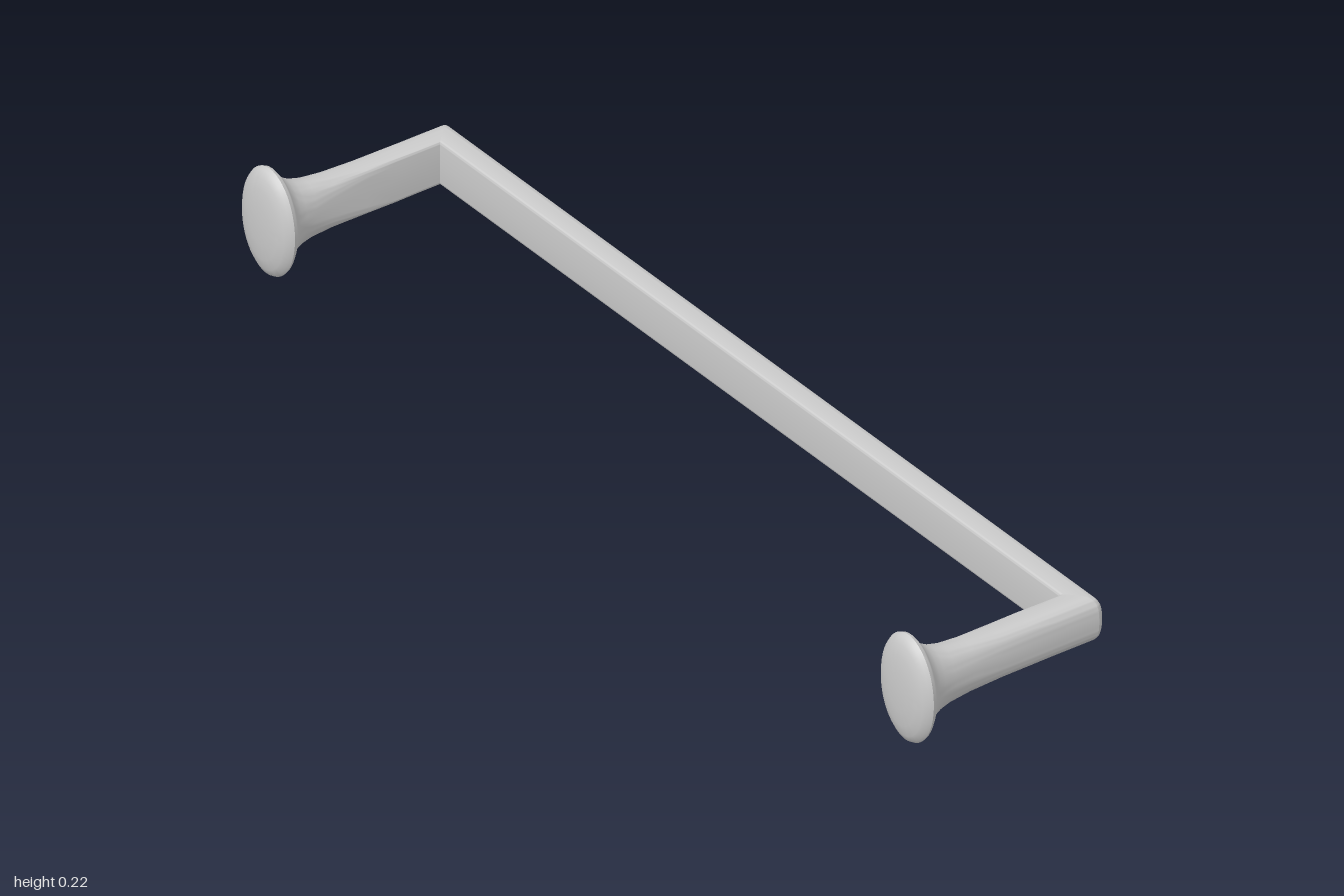
import * as THREE from 'three';
import { toCreasedNormals } from 'three/addons/utils/BufferGeometryUtils.js';

const SEG = 48;               // points around each cross-section
const MID_Y = 0.11;           // height of the centre line
const CX = 0.183, CZ = 0.926; // corner of the centre line
const HU = 0.028, HV = 0.045; // half depth and half height of the bar
const FILLET = 0.012;         // rounding of the outer corner

const spow = (s, e) => Math.sign(s) * Math.pow(Math.abs(s), e);

// Section point [u outward, v up]: t = 0 is an ellipse, t = 1 is a D with a flat inner side
function section(j, hu, hv, t) {
  const a = (j / SEG) * Math.PI * 2;
  const c = Math.cos(a), s = Math.sin(a);
  const e = 2 / (c < -1e-6 ? 12 : 2.9);
  return [
    hu * THREE.MathUtils.lerp(c, spow(c, e), t),
    hv * THREE.MathUtils.lerp(s, spow(s, e), t),
  ];
}

function ring(place, hu = HU, hv = HV, t = 1) {
  return Array.from({ length: SEG }, (_, j) => place(...section(j, hu, hv, t)));
}

// Skin a list of closed rings
function loft(name, rings, material) {
  const index = [];
  for (let i = 0; i < rings.length - 1; i++) {
    for (let j = 0; j < SEG; j++) {
      const k = (j + 1) % SEG;
      const a = i * SEG + j, b = a + SEG, c = i * SEG + k, d = c + SEG;
      index.push(a, b, c, c, b, d);
    }
  }
  const geometry = new THREE.BufferGeometry();
  geometry.setAttribute('position', new THREE.Float32BufferAttribute(rings.flat(2), 3));
  geometry.setIndex(index);
  const mesh = new THREE.Mesh(toCreasedNormals(geometry, 0.6), material);
  mesh.name = name;
  return mesh;
}

const mirror = (rings) => rings.map((r) => r.map(([x, y, z]) => [x, y, -z])).reverse();

export function createModel() {
  const group = new THREE.Group();
  group.name = 'pullHandle';
  const material = new THREE.MeshStandardMaterial({ color: 0xcccccc });

  // Flared post: [x, half height, half depth] from the domed foot to the plain stem
  const stations = [
    [-0.213, 0, 0], [-0.212, 0.04, 0.027], [-0.209, 0.07, 0.047], [-0.204, 0.091, 0.061],
    [-0.197, 0.104, 0.070], [-0.19, 0.108, 0.074], [-0.184, 0.106, 0.072], [-0.178, 0.098, 0.067],
    [-0.168, 0.083, 0.056], [-0.155, 0.072, 0.048], [-0.14, 0.064, 0.042], [-0.115, 0.057, 0.036],
    [-0.07, 0.051, 0.0315], [0, 0.0465, 0.029], [0.06, 0.0455, 0.0283], [0.11, HV, HU],
  ];
  const post = stations.map(([x, hv, hu]) =>
    ring((u, v) => [x, MID_Y + v, CZ + u], hu, hv, THREE.MathUtils.smoothstep(x, -0.18, 0.06)));

  // Mitred corner, rounded only on the outer side
  const corner = (fx, fz) => ring((u, v) => {
    const r = FILLET * Math.max(0, u / HU);
    return [CX + u - r * fx, MID_Y + v, CZ + u - r * fz];
  });
  post.push(corner(1, 0));
  const bend = [corner(1, 0), corner(0.5, 0.134), corner(0.134, 0.5), corner(0, 1)];

  group.add(loft('frontPost', post, material));
  group.add(loft('bar', [...bend, ...mirror(bend)], material));
  group.add(loft('backPost', mirror(post), material));
  return group;
}
